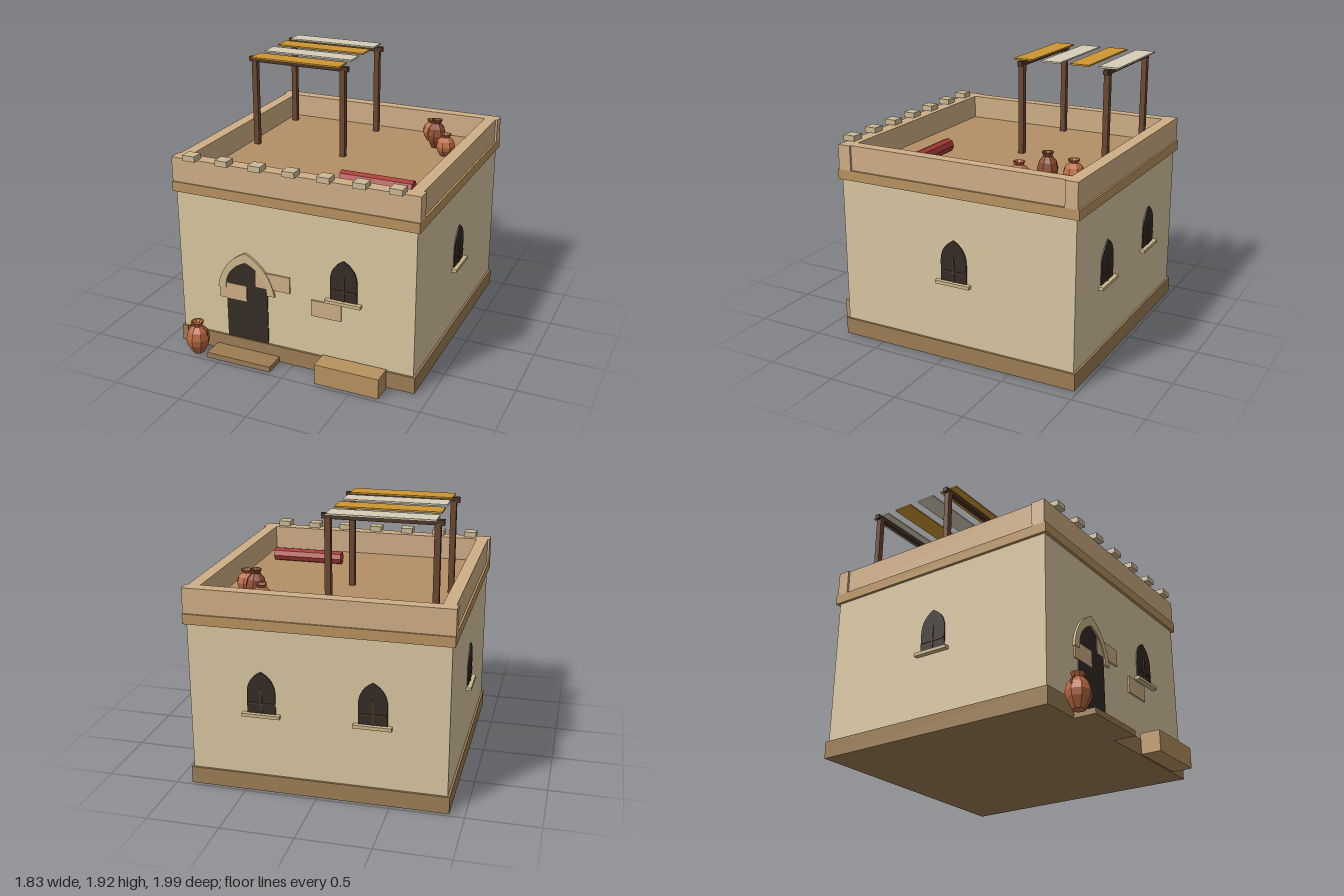
import * as THREE from 'three';

const mat = (color, extra = {}) => new THREE.MeshStandardMaterial({ color, ...extra });
const M = {
  wall: mat(0xd8c6a0), parapet: mat(0xcfae86), cornice: mat(0xb8925f), base: mat(0x9c7d54),
  floor: mat(0xb49066), dark: mat(0x342b25), wood: mat(0x6b4630), beam: mat(0x4c3526),
  cream: mat(0xd8cfb8), gold: mat(0xcf9630), rug: mat(0xa83a35, { flatShading: true }),
  bench: mat(0xb8925f), merlon: mat(0xcbb994), trim: mat(0xcbb688),
  clay: mat(0xb8683f, { flatShading: true, side: THREE.DoubleSide }),
  darkClay: mat(0x8a4a2e, { flatShading: true, side: THREE.DoubleSide }),
};

const FRONT = 0.8, BACK = -0.96, MID = -0.08, SIDE = 0.88, ROOF = 1.235;

function add(parent, name, geometry, material, x = 0, y = 0, z = 0) {
  const mesh = new THREE.Mesh(geometry, material);
  mesh.name = name;
  mesh.position.set(x, y, z);
  parent.add(mesh);
  return mesh;
}

// Box given by its minimum and maximum on each axis
function box(parent, name, material, x0, x1, y0, y1, z0, z1) {
  return add(parent, name, new THREE.BoxGeometry(x1 - x0, y1 - y0, z1 - z0), material,
    (x0 + x1) / 2, (y0 + y1) / 2, (z0 + z1) / 2);
}

// Pointed arch outline: half width, foot, spring line, control height, peak
function archPath(path, w, foot, spring, control, peak) {
  path.moveTo(-w, foot);
  path.lineTo(w, foot);
  path.lineTo(w, spring);
  path.quadraticCurveTo(w, control, 0, peak);
  path.quadraticCurveTo(-w, control, -w, spring);
  path.closePath();
  return path;
}

const extrude = (shape, depth) =>
  new THREE.ExtrudeGeometry(shape, { depth, bevelEnabled: false, curveSegments: 8 });

// Arched window facing local +z, with cross bars and a sill
function makeWindow(parent, name, x, z, angle) {
  const g = new THREE.Group();
  g.name = name;
  const pane = archPath(new THREE.Shape(), 0.098, 0.575, 0.71, 0.82, 0.868);
  add(g, 'windowPane', extrude(pane, 0.018), M.dark, 0, 0, -0.01);
  box(g, 'windowBarVertical', M.beam, -0.006, 0.006, 0.575, 0.75, 0, 0.014);
  box(g, 'windowBarHorizontal', M.beam, -0.09, 0.09, 0.639, 0.651, 0, 0.014);
  box(g, 'windowSill', M.trim, -0.13, 0.13, 0.552, 0.575, -0.01, 0.036);
  g.position.set(x, 0, z);
  g.rotation.y = angle;
  parent.add(g);
}

// Eight-sided clay jar
function makeJar(parent, name, x, y, z, radius, height, material, handles) {
  const g = new THREE.Group();
  g.name = name;
  const profile = [[0, 0], [0.5, 0], [0.92, 0.3], [1, 0.48], [0.82, 0.7], [0.4, 0.87], [0.57, 1], [0.45, 1], [0.3, 0.9], [0, 0.88]]
    .map(([r, h]) => new THREE.Vector2(r * radius, h * height));
  add(g, 'jarBody', new THREE.LatheGeometry(profile, 8), material);
  if (handles) for (const s of [-1, 1]) {
    const handle = add(g, 'jarHandle', new THREE.TorusGeometry(0.032, 0.007, 5, 8, Math.PI), material,
      s * 0.046, 0.165, 0);
    handle.rotation.z = -s * Math.PI / 2;
  }
  g.position.set(x, y, z);
  parent.add(g);
}

export function createModel() {
  const house = new THREE.Group();
  house.name = 'house';

  // Walls, plinth, cornice and roof floor
  box(house, 'plinth', M.base, -0.895, 0.895, 0, 0.12, -0.975, 0.815);
  box(house, 'walls', M.wall, -SIDE, SIDE, 0.12, 1.165, BACK, FRONT);
  box(house, 'cornice', M.cornice, -0.9, 0.9, 1.165, ROOF, -0.985, 0.82);
  box(house, 'roofFloor', M.floor, -0.81, 0.81, ROOF - 0.01, ROOF + 0.005, -0.9, 0.73);

  // Parapet: full-width front and back, slightly recessed sides
  box(house, 'parapetFront', M.parapet, -0.9, 0.9, ROOF, 1.41, 0.715, 0.81);
  box(house, 'parapetBack', M.parapet, -0.9, 0.9, ROOF, 1.41, -0.972, -0.885);
  box(house, 'parapetLeft', M.parapet, 0.8, 0.885, ROOF, 1.41, -0.885, 0.715);
  box(house, 'parapetRight', M.parapet, -0.885, -0.8, ROOF, 1.41, -0.885, 0.715);
  for (let i = -3; i <= 3; i++)
    box(house, 'merlon', M.merlon, i * 0.248 - 0.045, i * 0.248 + 0.045, 1.408, 1.448, 0.757, 0.845);

  // Doorway with pointed arch trim
  const door = archPath(new THREE.Shape(), 0.16, 0.12, 0.5, 0.655, 0.717);
  add(house, 'doorway', extrude(door, 0.016), M.dark, -0.355, 0, FRONT - 0.01);
  const arch = new THREE.Shape();
  arch.moveTo(0.16, 0.5);
  arch.lineTo(0.22, 0.5);
  arch.quadraticCurveTo(0.19, 0.7, 0, 0.79);
  arch.quadraticCurveTo(-0.19, 0.7, -0.22, 0.5);
  arch.lineTo(-0.16, 0.5);
  arch.quadraticCurveTo(-0.16, 0.655, 0, 0.717);
  arch.quadraticCurveTo(0.16, 0.655, 0.16, 0.5);
  add(house, 'doorArch', extrude(arch, 0.022), M.trim, -0.355, 0, FRONT - 0.005);

  // Exposed wall bricks
  for (const [x0, x1, y] of [[-0.565, -0.355, 0.42], [-0.28, -0.02, 0.55], [0.14, 0.36, 0.42]])
    box(house, 'wallBrick', M.parapet, x0, x1, y, y + 0.118, FRONT - 0.01, 0.812);

  // Windows on all sides
  makeWindow(house, 'frontWindow', 0.377, FRONT, 0);
  makeWindow(house, 'leftWindow', SIDE, MID, Math.PI / 2);
  makeWindow(house, 'rightWindow', -SIDE, MID, -Math.PI / 2);
  for (const s of [-1, 1]) makeWindow(house, 'backWindow', s * 0.378, BACK, Math.PI);

  // Step, bench and jar beside the door
  box(house, 'doorStep', M.base, -0.602, -0.108, 0, 0.04, 0.805, 0.967);
  box(house, 'bench', M.bench, 0.232, 0.698, 0, 0.147, 0.828, 0.97);
  makeJar(house, 'doorJar', -0.705, 0, 0.912, 0.086, 0.237, M.clay, true);

  // Rooftop pergola with cloth strips
  const pergola = new THREE.Group();
  pergola.name = 'pergola';
  house.add(pergola);
  for (const z of [-0.112, -0.757]) {
    for (const x of [-0.735, -0.032])
      box(pergola, 'post', M.wood, x - 0.02, x + 0.02, ROOF, 1.885, z - 0.02, z + 0.02);
    box(pergola, 'beam', M.beam, -0.777, 0.01, 1.875, 1.91, z - 0.017, z + 0.017);
  }
  for (let i = 0; i < 4; i++) {
    const z = -0.115 - i * 0.214;
    box(pergola, 'clothStrip', i % 2 ? M.cream : M.gold, -0.735, -0.034, 1.911, 1.922, z - 0.072, z + 0.072);
  }

  // Rolled rug and roof jars
  const rug = add(house, 'rolledRug', new THREE.CylinderGeometry(0.05, 0.05, 0.522, 8), M.rug, 0.436, ROOF + 0.05, 0.382);
  rug.rotation.z = Math.PI / 2;
  makeJar(house, 'roofJar', 0.436, ROOF, -0.732, 0.074, 0.165, M.clay);
  makeJar(house, 'roofJar', 0.522, ROOF, -0.585, 0.074, 0.218, M.darkClay);
  makeJar(house, 'roofJar', 0.641, ROOF, -0.438, 0.074, 0.165, M.clay);

  return house;
}
